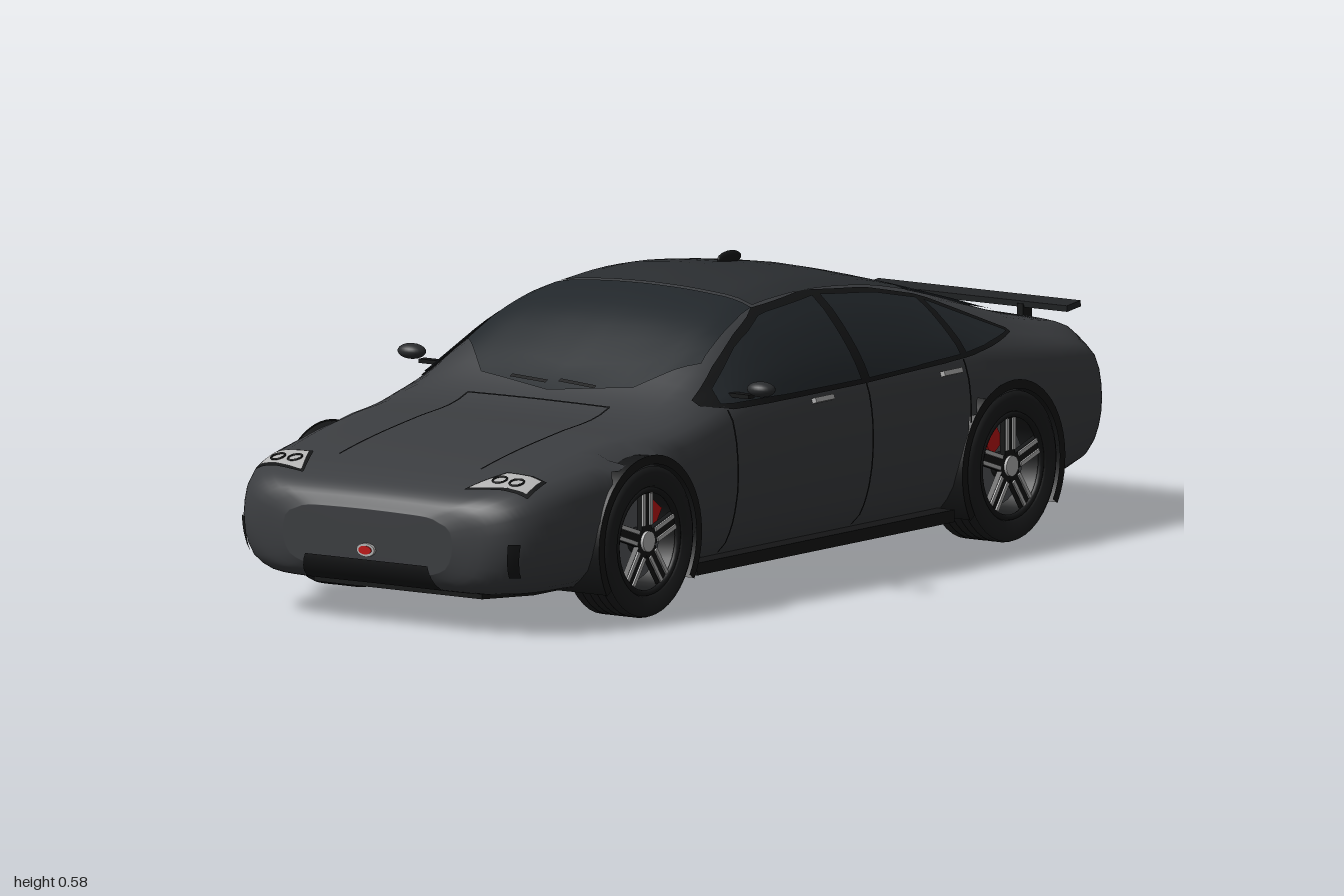
import * as THREE from 'three';

const mat = (color, side = THREE.FrontSide) => new THREE.MeshStandardMaterial({ color, side, roughness: 0.7 });
const PAINT = 0x3b3d40, GLASS = 0x22272b, BLACK = 0x141516, SILVER = 0xb4b4b4, RED = 0xc01515;
const WHEEL_Z = [0.605, -0.58], WHEEL_Y = 0.148, ARCH = 0.165;

// Stations along the car: z, floor, shoulder height, top height, half width, roof half width
const STATIONS = [
  [-1, .15, .26, .33, .22, .15], [-.985, .125, .285, .355, .28, .20], [-.95, .105, .30, .375, .325, .23],
  [-.88, .09, .32, .39, .36, .24], [-.75, .072, .34, .42, .38, .235], [-.6, .06, .355, .465, .383, .23],
  [-.45, .06, .36, .508, .383, .225], [-.3, .06, .36, .542, .383, .225], [-.1, .06, .36, .563, .383, .225],
  [.08, .06, .36, .55, .383, .235], [.2, .06, .355, .515, .383, .25], [.3, .06, .35, .455, .383, .265],
  [.4, .06, .335, .388, .383, .285], [.48, .06, .322, .354, .383, .30], [.6, .06, .31, .34, .383, .305],
  [.75, .062, .285, .32, .378, .30], [.88, .066, .258, .295, .362, .29], [.95, .075, .238, .272, .33, .26],
  [.985, .09, .22, .25, .275, .21], [1, .11, .20, .225, .20, .14],
];

// Smooth interpolation of the station table
function station(z) {
  let k = 0;
  while (k < STATIONS.length - 2 && z > STATIONS[k + 1][0]) k++;
  const at = i => STATIONS[Math.min(Math.max(i, 0), STATIONS.length - 1)];
  const [p, a, b, n] = [at(k - 1), at(k), at(k + 1), at(k + 2)];
  const h = b[0] - a[0], t = (z - a[0]) / h;
  return a.map((v, c) => {
    const ma = (b[c] - p[c]) / (b[0] - p[0]) * h, mb = (n[c] - a[c]) / (n[0] - a[0]) * h;
    return (2 * t ** 3 - 3 * t * t + 1) * v + (t ** 3 - 2 * t * t + t) * ma
      + (3 * t * t - 2 * t ** 3) * b[c] + (t ** 3 - t * t) * mb;
  });
}

// Half cross-section from floor centre to roof centre
function halfSection(z, n) {
  const [, b, s, t, w, r] = station(z), d = s - b;
  return new THREE.SplineCurve([
    [0, b], [.65 * w, b], [.85 * w, b + .08 * d], [.95 * w, b + .25 * d], [w, b + .6 * d], [.965 * w, s],
    [.965 * w * .55 + r * .45, s + (t - s) * .52], [r, t - .13 * (t - s)], [r * .5, t - .03 * (t - s)], [0, t],
  ].map(p => new THREE.Vector2(...p))).getSpacedPoints(n);
}

// Lofted shell, with the wheel openings left out when cut is true
function shell(cut) {
  const N = 30, M = 104, R = 2 * N, pos = [], idx = [];
  const wheelDist = (y, z) => WHEEL_Z.map(c => [Math.hypot(y - WHEEL_Y, z - c), c]).sort((a, b) => a[0] - b[0])[0];
  for (let j = 0; j <= M; j++) {
    const z = Math.sin(Math.PI * (0.5 - j / M)), half = halfSection(z, N);
    for (let i = 0; i < R; i++) {
      const p = half[i <= N ? i : R - i], x = i <= N ? p.x : -p.x;
      const [d, c] = wheelDist(p.y, z);
      const k = Math.abs(x) > .24 && Math.abs(d - ARCH) < .013 ? ARCH / d : 1;
      pos.push(x, WHEEL_Y + (p.y - WHEEL_Y) * k, c + (z - c) * k);
    }
  }
  const tri = (...t) => {
    const m = [0, 1, 2].map(c => t.reduce((s, v) => s + pos[v * 3 + c] / 3, 0));
    if (!cut || Math.abs(m[0]) < .24 || wheelDist(m[1], m[2])[0] > ARCH) idx.push(...t);
  };
  const front = pos.length / 3;
  pos.push(0, .165, 1, 0, .24, -1);
  for (let i = 0; i < R; i++) {
    const n = (i + 1) % R;
    for (let j = 0; j < M; j++) {
      const a = j * R + i, b = j * R + n;
      tri(a, a + R, b);
      tri(b, a + R, b + R);
    }
    tri(front, i, n);
    tri(front + 1, M * R + n, M * R + i);
  }
  const g = new THREE.BufferGeometry();
  g.setAttribute('position', new THREE.Float32BufferAttribute(pos, 3));
  g.setIndex(idx);
  g.computeVertexNormals();
  return g;
}

function add(parent, name, geometry, color, x = 0, y = 0, z = 0, side) {
  const m = new THREE.Mesh(geometry, mat(color, side));
  m.name = name;
  m.position.set(x, y, z);
  parent.add(m);
  return m;
}

// Wheel with its outer face towards +x; back is the z sign of the caliper
function wheel(back) {
  const g = new THREE.Group();
  const prof = [[.104, -.05], [.135, -.055], [.146, -.046]];
  for (let i = -2; i <= 2; i++) prof.push([.148, i * .018 - .007], [.148, i * .018 + .006], [.143, i * .018 + .007], [.143, i * .018 + .01]);
  prof.push([.146, .048], [.135, .055], [.108, .052], [.1, .035], [.1, -.05], [.104, -.05]);
  const tyre = new THREE.LatheGeometry(prof.map(p => new THREE.Vector2(...p)), 40).rotateZ(-Math.PI / 2);
  add(g, 'tyre', tyre, 0x1b1c1d, 0, 0, 0, THREE.DoubleSide);
  const disc = (r, h) => new THREE.CylinderGeometry(r, r, h, 32).rotateZ(Math.PI / 2);
  add(g, 'brakeDisc', disc(.078, .012), 0x55585a, .01);
  add(g, 'hub', disc(.02, .012), SILVER, .044);
  add(g, 'axle', disc(.025, .08), BLACK);
  add(g, 'rimEdge', new THREE.TorusGeometry(.1, .006, 8, 40).rotateY(Math.PI / 2), BLACK, .045);
  add(g, 'caliper', new THREE.BoxGeometry(.02, .04, .045), RED, .022, .052, back * .036).rotation.x = back * .6;
  for (let i = 0; i < 5; i++) {
    const spoke = new THREE.Group();
    spoke.name = 'spoke';
    spoke.rotation.x = i * Math.PI * .4;
    add(spoke, 'spokeBody', new THREE.BoxGeometry(.012, .09, .032), BLACK, .038, .055);
    for (const s of [-1, 1]) add(spoke, 'spokeTrim', new THREE.BoxGeometry(.005, .062, .008), SILVER, .045, .062, s * .011);
    g.add(spoke);
  }
  return g;
}

export function createModel() {
  const car = new THREE.Group();
  car.name = 'car';
  add(car, 'body', shell(true), PAINT);
  const target = new THREE.Mesh(shell(false), mat(PAINT, THREE.DoubleSide));
  const ray = new THREE.Raycaster();
  const VIEWS = {
    front: (x, y) => [[x, y, 2], [0, 0, -1]], rear: (x, y) => [[x, y, -2], [0, 0, 1]],
    top: (x, z) => [[x, 2, z], [0, -1, 0]],
    left: (z, y) => [[2, y, z], [-1, 0, 0]], right: (z, y) => [[-2, y, z], [1, 0, 0]],
  };
  // Point and normal where a straight line from one view meets the shell
  function hit(view, a, b) {
    const [o, d] = VIEWS[view](a, b);
    ray.set(new THREE.Vector3(...o), new THREE.Vector3(...d));
    const h = ray.intersectObject(target)[0];
    return h && { point: h.point, normal: h.face.normal };
  }
  // Panel lying on the shell between two edge lines
  function panel(name, view, edgeA, edgeB, color, nu = 14, nv = 5, lift = .004) {
    const [A, B] = [edgeA, edgeB].map(e => new THREE.Path(e.map(p => new THREE.Vector2(...p))));
    const pos = [], idx = [];
    let last = new THREE.Vector3();
    for (let i = 0; i <= nu; i++) for (let j = 0; j <= nv; j++) {
      const p = A.getPoint(i / nu).lerp(B.getPoint(i / nu), j / nv), h = hit(view, p.x, p.y);
      if (h) last = h.point.clone().addScaledVector(h.normal, lift);
      pos.push(last.x, last.y, last.z);
      const a = i * (nv + 1) + j, b = a + nv + 1;
      if (i < nu && j < nv) idx.push(a, b, a + 1, a + 1, b, b + 1);
    }
    const g = new THREE.BufferGeometry();
    g.setAttribute('position', new THREE.Float32BufferAttribute(pos, 3));
    g.setIndex(idx);
    g.computeVertexNormals();
    return add(car, name, g, color, 0, 0, 0, THREE.DoubleSide);
  }
  // Thin shut line between two points
  function line(view, [a, b], [c, d], w = .0022) {
    const l = Math.hypot(c - a, d - b), u = (d - b) / l * w, v = (a - c) / l * w;
    panel('shutLine', view, [[a - u, b - v], [c - u, d - v]], [[a + u, b + v], [c + u, d + v]], BLACK, 14, 1, .003);
  }
  // Small part set on the shell, its z axis along the surface normal
  function mount(name, geometry, color, view, a, b, lift = .004) {
    const h = hit(view, a, b), p = h.point.clone().addScaledVector(h.normal, lift);
    const m = add(car, name, geometry, color, p.x, p.y, p.z);
    m.lookAt(p.add(h.normal));
  }

  // Glass and roof
  panel('windscreen', 'top', [[-.24, .08], [0, .09], [.24, .08]],
    [[-.275, .29], [-.18, .38], [0, .412], [.18, .38], [.275, .29]], GLASS, 24, 10);
  panel('roofPanel', 'top', [[-.222, -.45], [0, -.46], [.222, -.45]], [[-.235, .07], [0, .08], [.235, .07]], 0x2b2e31, 16, 12);
  panel('rearWindow', 'top', [[-.192, -.78], [0, -.80], [.192, -.78]], [[-.218, -.465], [0, -.475], [.218, -.465]], GLASS, 16, 10);
  for (const x of [-.1, .015]) panel('wiper', 'top', [[x, .385], [x + .09, .392]], [[x, .393], [x + .09, .400]], BLACK, 6, 1, .010);

  // Bonnet and doors
  for (const s of [-1, 1]) line('top', [s * .168, .44], [s * .168, .86]);
  line('top', [-.168, .44], [.168, .44]);
  for (const side of ['left', 'right']) {
    panel('windowFrame', side, [[.37, .375], [.30, .364], [-.1, .364], [-.47, .372], [-.65, .393]],
      [[.37, .385], [.30, .425], [.2, .48], [.08, .522], [-.1, .534], [-.3, .515], [-.47, .48], [-.65, .40]], BLACK, 30, 7, .003);
    panel('frontWindow', side, [[.33, .374], [-.105, .372]], [[.32, .40], [.2, .469], [.08, .511], [-.105, .523]], GLASS, 14, 6, .006);
    panel('rearDoorWindow', side, [[-.13, .372], [-.435, .378]], [[-.13, .522], [-.3, .505], [-.435, .478]], GLASS, 12, 6, .006);
    panel('quarterWindow', side, [[-.455, .379], [-.63, .395]], [[-.455, .472], [-.63, .398]], GLASS, 8, 4, .006);
    line(side, [.32, .09], [.32, .365]);
    line(side, [-.12, .09], [-.12, .365]);
    line(side, [-.44, .25], [-.44, .37]);
    for (const z of [.03, -.39]) mount('doorHandle', new THREE.BoxGeometry(.06, .01, .012), SILVER, side, z, .352);
  }

  // Nose and tail details
  panel('lowerGrille', 'front', [[-.16, .082], [.16, .082]], [[-.145, .128], [.145, .128]], BLACK, 16, 4);
  panel('rearVent', 'rear', [[-.15, .155], [.15, .155]], [[-.15, .18], [.15, .18]], BLACK, 16, 3);
  for (const [view, y] of [['front', .147], ['rear', .215]]) {
    mount('badgeRim', new THREE.CylinderGeometry(.021, .021, .006, 28).rotateX(Math.PI / 2).scale(1, .62, 1), SILVER, view, 0, y);
    mount('badgeCentre', new THREE.CylinderGeometry(.015, .015, .006, 28).rotateX(Math.PI / 2).scale(1, .55, 1), RED, view, 0, y, .006);
  }

  for (const s of [-1, 1]) {
    // Lights and front vents
    panel('headlightFrame', 'top', [[s * .192, .942], [s * .23, .858], [s * .322, .858]], [[s * .192, .946], [s * .322, .92]], BLACK, 12, 5, .003);
    panel('headlight', 'top', [[s * .2, .936], [s * .236, .864], [s * .315, .864]], [[s * .2, .94], [s * .315, .914]], SILVER, 12, 5, .005);
    for (const x of [.243, .283]) mount('headlightRing', new THREE.TorusGeometry(.014, .002, 6, 24), BLACK, 'top', s * x, .9, .006);
    panel('frontVent', 'front', [[s * .305, .115], [s * .32, .115]], [[s * .31, .18], [s * .328, .18]], BLACK, 3, 6);
    panel('tailLight', 'rear', [[s * .07, .325], [s * .205, .318]], [[s * .07, .36], [s * .195, .352]], RED, 10, 4);

    // Mirrors, sills and wing posts
    add(car, 'mirror', new THREE.SphereGeometry(1, 24, 14).scale(.03, .015, .022), 0x2a2c2e, s * .415, .407, .285);
    add(car, 'mirrorArm', new THREE.BoxGeometry(.05, .008, .02), BLACK, s * .367, .391, .285);
    add(car, 'sill', new THREE.BoxGeometry(.05, .024, .84), BLACK, s * .335, .069, 0);
    add(car, 'wingPost', new THREE.BoxGeometry(.014, .04, .03), BLACK, s * .13, .375, -.965);

    // Wheels and arches
    WHEEL_Z.forEach((z, i) => {
      const back = i ? 1 : -1, w = wheel(back * s);
      w.name = i ? 'rearWheel' : 'frontWheel';
      w.position.set(s * .332, WHEEL_Y, z);
      w.rotation.y = s > 0 ? 0 : Math.PI;
      car.add(w);
      const liner = new THREE.CylinderGeometry(ARCH, ARCH, .135, 36, 1, true, Math.PI - 2.13, 4.26).rotateX(Math.PI / 2).rotateY(Math.PI / 2);
      add(car, 'archLiner', liner, BLACK, s * .317, WHEEL_Y, z, THREE.DoubleSide);
      const ring = (r, R) => new THREE.RingGeometry(r, R, 36, 1, Math.PI / 2 - 2.13, 4.26).rotateY(Math.PI / 2);
      add(car, 'archLip', ring(.15, .168), BLACK, s * .385, WHEEL_Y, z, THREE.DoubleSide);
      add(car, 'archInnerWall', ring(.001, ARCH), BLACK, s * .25, WHEEL_Y, z, THREE.DoubleSide);
    });
  }

  // Rear wing and aerial
  add(car, 'rearWing', new THREE.BoxGeometry(.48, .012, .045), 0x232527, 0, .397, -.975).rotation.x = .12;
  add(car, 'aerial', new THREE.SphereGeometry(1, 16, 12).scale(.008, .014, .038), BLACK, 0, .568, -.18);

  // Flat floor, narrowed between the wheels
  const half = [[.2, .9], [.25, .8], [.25, .44], [.33, .40], [.33, -.40], [.25, -.42], [.25, -.72], [.2, -.78]];
  const floor = new THREE.Shape([...half, ...half.map(([x, z]) => [-x, z]).reverse()].map(p => new THREE.Vector2(...p)));
  add(car, 'floor', new THREE.ExtrudeGeometry(floor, { depth: .02, bevelEnabled: false }).rotateX(Math.PI / 2), BLACK, 0, .076, 0);
  return car;
}
